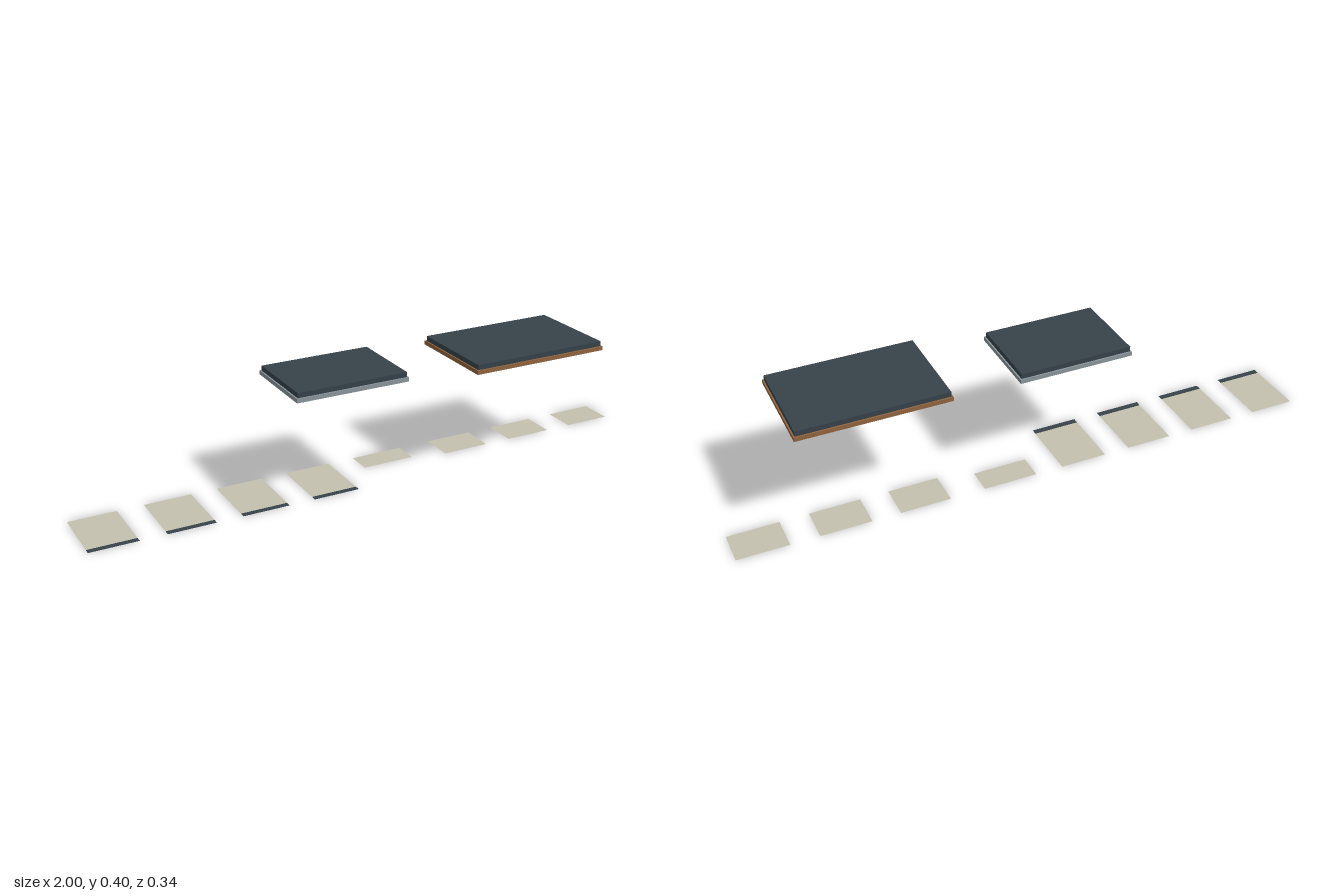
import * as THREE from 'three';

const mat = (name, color, side = THREE.FrontSide) => {
  const m = new THREE.MeshStandardMaterial({ color, side });
  m.name = name;
  return m;
};

export function createModel() {
  const model = new THREE.Group();
  model.name = 'roofPanelsAndSheets';

  const slate = mat('slate', 0x36434a, THREE.DoubleSide);
  const copper = mat('copperBrown', 0x92653f);
  const steel = mat('steelGrey', 0x8a979d);
  const paper = mat('paleSheet', 0xc5c0af, THREE.DoubleSide);
  const yellow = mat('yellow', 0xd4b836, THREE.DoubleSide);

  // Box between two heights
  const box = (parent, name, material, w, d, y0, y1, x = 0, z = 0) => {
    const m = new THREE.Mesh(new THREE.BoxGeometry(w, y1 - y0, d), material);
    m.position.set(x, (y0 + y1) / 2, z);
    m.name = name;
    parent.add(m);
  };

  // Flat horizontal sheet between two corners
  const sheet = (parent, name, material, x0, x1, z0, z1, y) => {
    const g = new THREE.PlaneGeometry(x1 - x0, z1 - z0).rotateX(-Math.PI / 2);
    const m = new THREE.Mesh(g, material);
    m.position.set((x0 + x1) / 2, y, (z0 + z1) / 2);
    m.name = name;
    parent.add(m);
  };

  // Raised panel: slab, rim, dark underside and four square pads
  const panel = (name, rim, cx, cz, w, d, padX, padZ, yellowPads) => {
    const g = new THREE.Group();
    g.name = name;
    g.position.set(cx, 0, cz);
    box(g, 'slab', slate, w - 0.01, d - 0.011, 0.384, 0.401);
    box(g, 'rim', rim, w, d, 0.37, 0.384);
    box(g, 'innerTrim', rim, w - 0.028, d - 0.028, 0.3685, 0.37);
    box(g, 'underside', slate, w - 0.042, d - 0.042, 0.366, 0.3685);
    let i = 0;
    for (const sx of [1, -1]) {
      for (const sz of [-1, 1]) {
        const x = sx * padX, z = sz * padZ, h = 0.044;
        sheet(g, 'pad', yellowPads.includes(i++) ? yellow : paper, x - h, x + h, z - h, z + h, 0.359);
      }
    }
    model.add(g);
  };
  panel('largePanel', copper, 0.53, 0, 0.5, 0.338, 0.1, 0.068, [3]);
  panel('smallPanel', steel, -0.139, -0.029, 0.392, 0.284, 0.083, 0.0575, [1, 2]);

  // Row of tall sheets with a dark front strip
  for (let i = 0; i < 4; i++) {
    const x = -1 + i * 0.2485;
    sheet(model, 'tallSheet', paper, x, x + 0.16, -0.171, 0.033, 0);
    sheet(model, 'frontStrip', slate, x, x + 0.16, 0.033, 0.054, 0);
  }

  // Row of short sheets
  sheet(model, 'shortSheet', paper, 0, 0.184, -0.171, -0.083, 0);
  for (const x of [0.302, 0.566, 0.83]) {
    sheet(model, 'shortSheet', paper, x, x + 0.169, -0.171, -0.053, 0);
  }

  return model;
}
